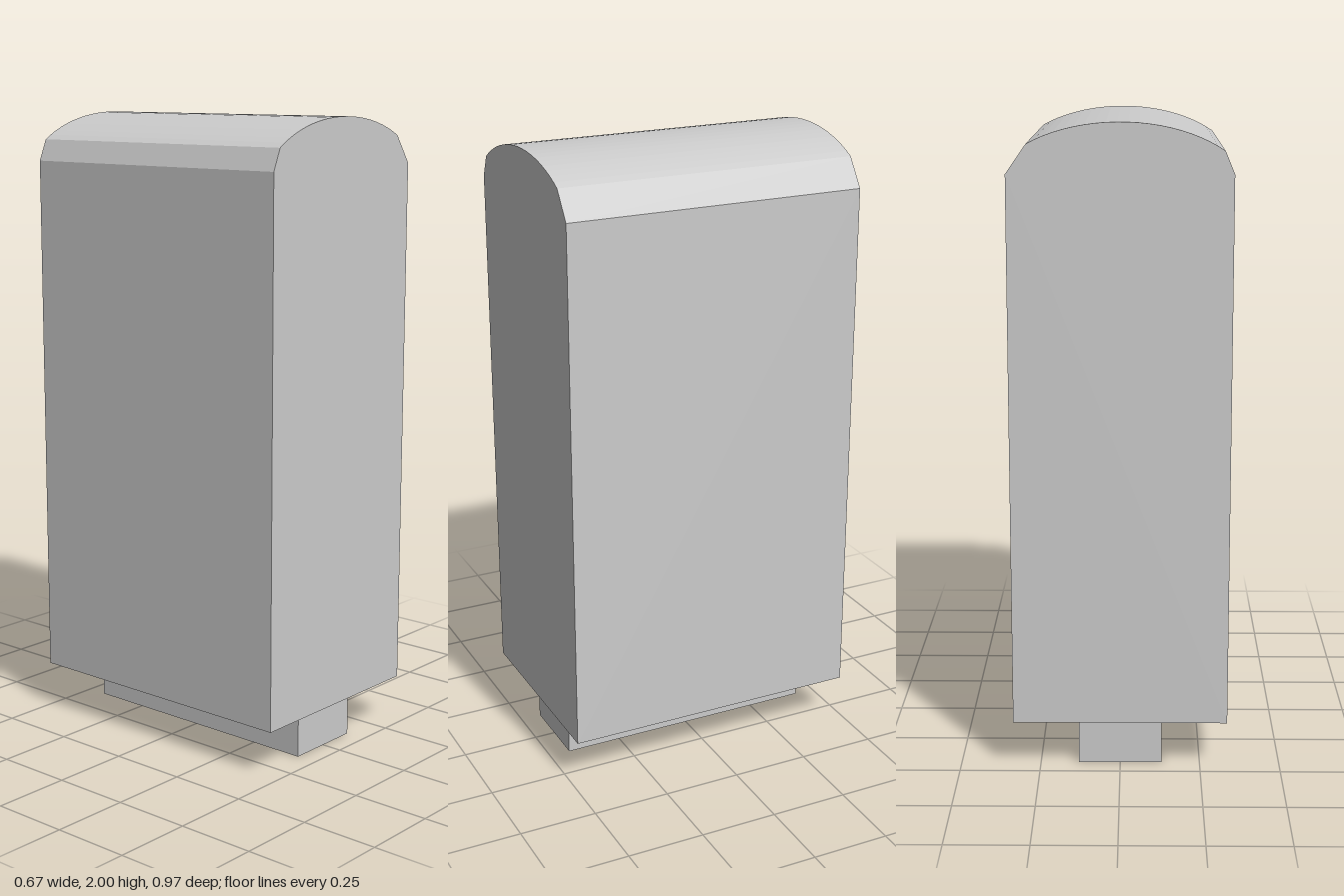
import * as THREE from 'three';

export function createModel() {
  const model = new THREE.Group();
  const material = new THREE.MeshStandardMaterial({ color: 0xcccccc });
  const half = 0.333, bottom = 0.155, shoulder = 1.85, depth = 0.97;

  // Body outline: straight sides, uneven chamfers and a shallow elliptical crown
  const outline = new THREE.Shape();
  outline.moveTo(-half, bottom);
  outline.lineTo(half, bottom);
  outline.lineTo(half, shoulder);
  const rx = 0.4, ry = 0.235, steps = 20;
  const start = Math.asin(0.272 / rx), end = -Math.asin(0.305 / rx);
  for (let i = 0; i <= steps; i++) {
    const t = start + (end - start) * i / steps;
    outline.lineTo(rx * Math.sin(t), 2 - ry * (1 - Math.cos(t)));
  }
  outline.lineTo(-half, shoulder);
  outline.closePath();

  const bodyGeometry = new THREE.ExtrudeGeometry(outline, { depth, bevelEnabled: false });
  bodyGeometry.translate(0, 0, -depth / 2);
  const body = new THREE.Mesh(bodyGeometry, material);
  body.name = 'body';
  model.add(body);

  // Narrow rail under the body
  const foot = new THREE.Mesh(new THREE.BoxGeometry(0.26, bottom, 0.865), material);
  foot.name = 'foot';
  foot.position.y = bottom / 2;
  model.add(foot);

  return model;
}
